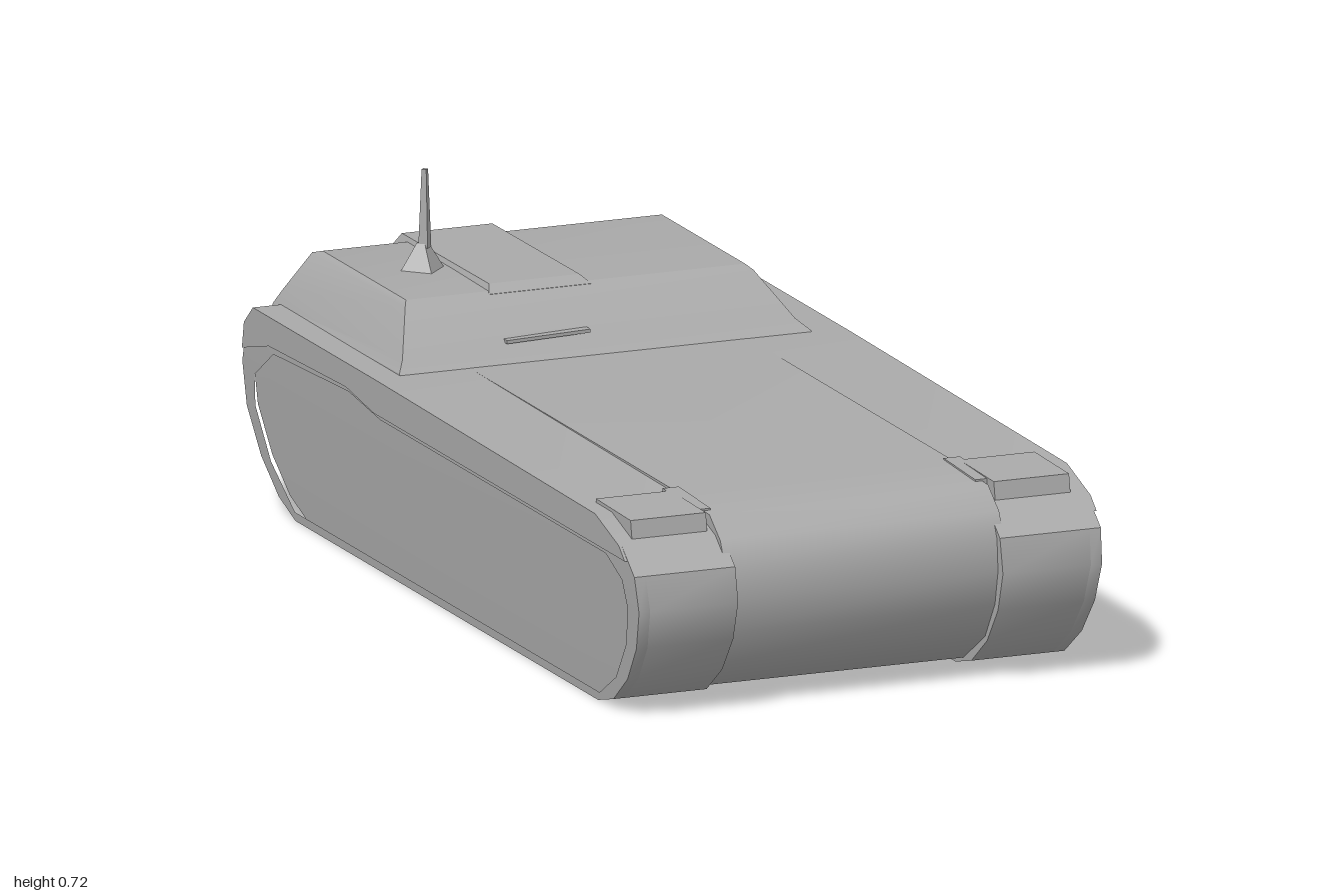
import * as THREE from 'three';
import { toCreasedNormals } from 'three/addons/utils/BufferGeometryUtils.js';

const grey = new THREE.MeshStandardMaterial({ color: 0xa9a9a9 });
grey.name = 'plain grey';

function add(parent, name, geometry) {
  const mesh = new THREE.Mesh(geometry, grey);
  mesh.name = name;
  parent.add(mesh);
  return mesh;
}

// Side profile given as [z, y] points, extruded across x from x0 to x1.
function sideExtrude(profile, x0, x1, hole) {
  const toPoints = (list) => list.map(([z, y]) => new THREE.Vector2(-z, y));
  const shape = new THREE.Shape(toPoints(profile));
  if (hole) shape.holes.push(new THREE.Path(toPoints(hole)));
  const g = new THREE.ExtrudeGeometry(shape, { depth: x1 - x0, bevelEnabled: false });
  g.rotateY(Math.PI / 2);
  g.translate(x0, 0, 0);
  return g;
}

// Pull the lower flanks slightly inward.
function taper(g) {
  const p = g.attributes.position;
  for (let i = 0; i < p.count; i++) {
    const x = p.getX(i);
    if (Math.abs(x) > 0.4) p.setX(i, x - Math.sign(x) * 0.018 * Math.max(0, 1 - p.getY(i) / 0.3));
  }
  return toCreasedNormals(g, 0.6);
}

// Solid through rings of equal length, counter-clockwise seen from above, listed bottom to top.
function loft(rings) {
  const n = rings[0].length, index = [];
  for (let r = 0; r < rings.length - 1; r++) {
    for (let i = 0; i < n; i++) {
      const a = r * n + i, b = r * n + (i + 1) % n;
      index.push(a, b, b + n, a, b + n, a + n);
    }
  }
  const top = (rings.length - 1) * n;
  for (let i = 1; i < n - 1; i++) index.push(top, top + i, top + i + 1, 0, i + 1, i);
  const g = new THREE.BufferGeometry();
  g.setAttribute('position', new THREE.Float32BufferAttribute(rings.flat(2), 3));
  g.setIndex(index);
  return toCreasedNormals(g, 0.4);
}

// Rectangular ring; the front and rear edges may sit at different heights.
const ring = (x0, x1, zRear, zFront, yRear, yFront = yRear) => [
  [x0, yFront, zFront], [x1, yFront, zFront], [x1, yRear, zRear], [x0, yRear, zRear],
];

export function createModel() {
  const model = new THREE.Group();
  model.name = 'trackedVehicle';

  // Central hull between the tracks
  const hull = [
    [0.80, 0.022], [0.91, 0.092], [0.96, 0.17], [0.975, 0.24], [0.97, 0.305], [0.945, 0.355],
    [0.89, 0.395], [0.70, 0.403], [-0.30, 0.405], [-0.92, 0.41], [-0.965, 0.385], [-0.985, 0.31],
    [-0.975, 0.22], [-0.90, 0.10], [-0.78, 0.022],
  ];
  add(model, 'hull', toCreasedNormals(sideExtrude(hull, -0.3, 0.3), 0.6));

  // Track housings with a recessed flank inside a raised rim
  const track = [
    [0.76, 0.004], [0.84, 0.025], [0.92, 0.085], [0.975, 0.16], [1.0, 0.24], [0.985, 0.31],
    [0.92, 0.36], [0.80, 0.39], [-0.30, 0.395], [-0.93, 0.395], [-0.975, 0.36], [-1.0, 0.28],
    [-0.99, 0.19], [-0.93, 0.10], [-0.85, 0.035], [-0.77, 0.004],
  ];
  const recess = [
    [0.77, 0.022], [0.86, 0.075], [0.925, 0.16], [0.94, 0.24], [0.92, 0.29], [0.84, 0.325],
    [-0.30, 0.325], [-0.46, 0.345], [-0.84, 0.33], [-0.94, 0.265], [-0.945, 0.20],
    [-0.88, 0.10], [-0.77, 0.022],
  ];
  // Overhanging fender lip
  const fender = [
    [0.83, 0.335], [0.95, 0.335], [0.92, 0.36], [0.80, 0.397], [-0.30, 0.405], [-0.93, 0.405],
    [-0.975, 0.365], [-0.985, 0.31], [-0.85, 0.345], [-0.46, 0.355], [-0.32, 0.335],
  ];
  for (const [side, s] of [['left', 1], ['right', -1]]) {
    const across = (profile, a, b, hole) =>
      sideExtrude(profile, Math.min(a * s, b * s), Math.max(a * s, b * s), hole);
    add(model, side + 'Track', taper(across(track, 0.285, 0.478)));
    add(model, side + 'TrackRim', taper(across(track, 0.478, 0.502, recess)));
    add(model, side + 'Fender', toCreasedNormals(across(fender, 0.285, 0.508), 0.6));

    // Headlamp box and its inner step
    const lamp = [[0.89, 0.345], [0.905, 0.35], [0.895, 0.402], [0.72, 0.405], [0.72, 0.37]];
    add(model, side + 'LampBox', toCreasedNormals(across(lamp, 0.31, 0.472), 0.4));
    const step = [[0.86, 0.37], [0.86, 0.40], [0.70, 0.406], [0.70, 0.37]];
    add(model, side + 'LampStep', toCreasedNormals(across(step, 0.285, 0.32), 0.4));
  }

  // Raised rear cabin
  add(model, 'cabin', loft([
    ring(-0.455, 0.445, -0.982, -0.29, 0.33, 0.38),
    ring(-0.45, 0.435, -0.965, -0.325, 0.40, 0.408),
    ring(-0.435, 0.41, -0.95, -0.345, 0.43),
    ring(-0.395, 0.355, -0.895, -0.425, 0.515),
    ring(-0.385, 0.345, -0.865, -0.445, 0.524),
  ]));

  // Raised roof strip running down the rear
  add(model, 'roofHatch', loft([
    ring(-0.225, 0.015, -0.965, -0.43, 0.42, 0.50),
    ring(-0.21, 0.01, -0.925, -0.435, 0.505, 0.52),
    ring(-0.2, -0.005, -0.90, -0.46, 0.533, 0.535),
  ]));

  // Vision slit on the cabin front
  const slit = add(model, 'visionSlit', new THREE.BoxGeometry(0.18, 0.007, 0.02));
  slit.position.set(-0.12, 0.446, -0.355);
  slit.rotation.z = 0.03;

  // Antenna: faceted foot and a thin tapering mast
  const foot = add(model, 'antennaFoot',
    toCreasedNormals(new THREE.CylinderGeometry(0.012, 0.047, 0.055, 4), 0.2));
  foot.position.set(-0.258, 0.55, -0.66);
  const mast = add(model, 'antennaMast',
    toCreasedNormals(new THREE.CylinderGeometry(0.007, 0.014, 0.16, 4), 0.2));
  mast.position.set(-0.254, 0.648, -0.657);

  return model;
}
